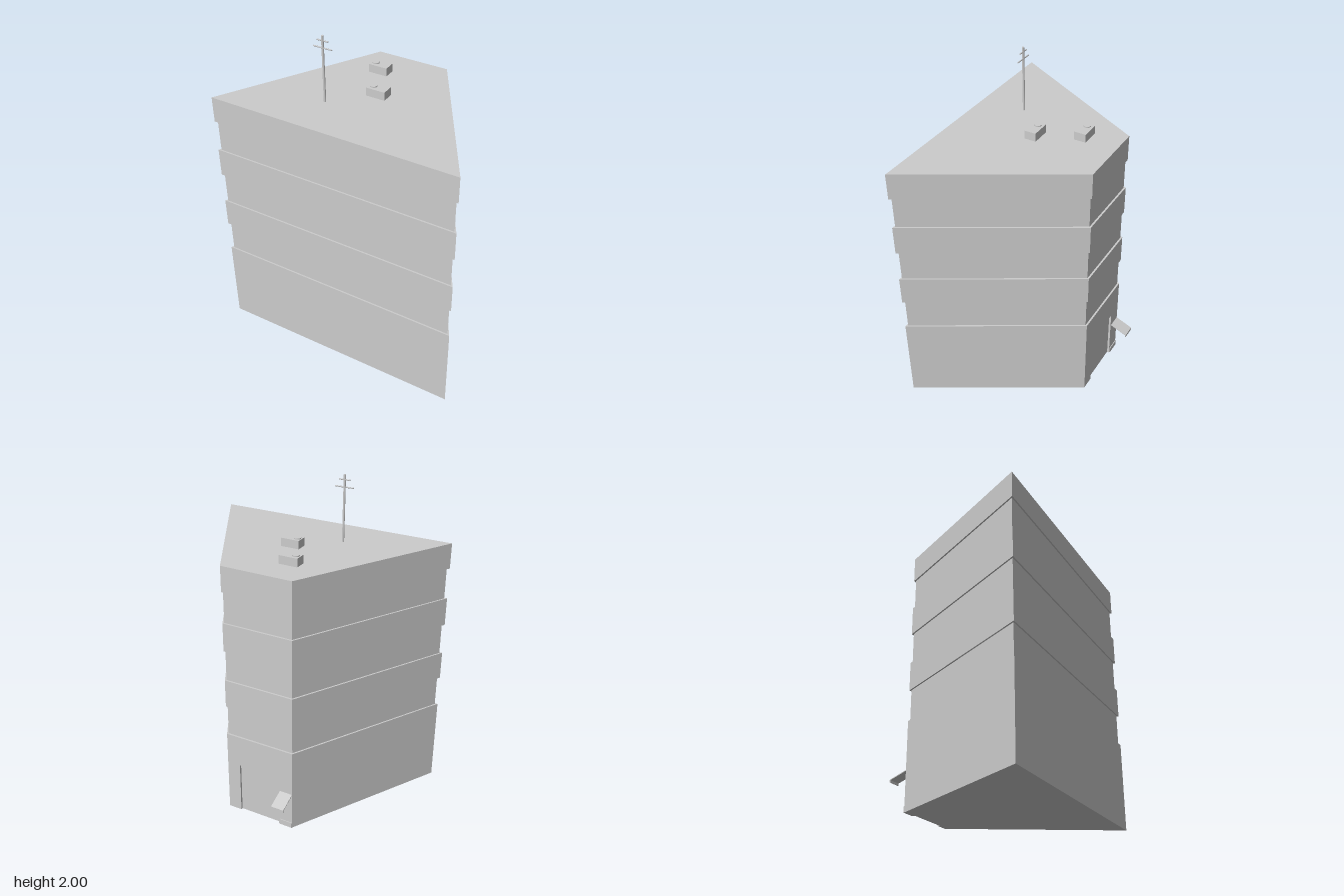
import * as THREE from 'three';

const concrete = new THREE.MeshStandardMaterial({ color: 0xcccccc });
concrete.name = 'concrete grey';

const ROOF = 1.605;

function add(parent, name, geometry, x = 0, y = 0, z = 0) {
  const mesh = new THREE.Mesh(geometry, concrete);
  mesh.name = name;
  mesh.position.set(x, y, z);
  parent.add(mesh);
  return mesh;
}

// Upright prism from plan points [x, z], listed front left, then round the outline
function prism(points, y0, y1) {
  const shape = new THREE.Shape(points.map(([x, z]) => new THREE.Vector2(x, -z)));
  const g = new THREE.ExtrudeGeometry(shape, { depth: y1 - y0, bevelEnabled: false });
  return g.rotateX(-Math.PI / 2).translate(0, y0, 0);
}

const outer = [[-0.754, 0.521], [0.754, 0.521], [0.222, -0.415], [-0.222, -0.415]];
const inner = [[-0.739, 0.512], [0.739, 0.512], [0.217, -0.404], [-0.217, -0.404]];

export function createModel() {
  const building = new THREE.Group();
  building.name = 'building';

  // Ground floor, with a recessed garage opening in the back wall
  const recess = [[0.138, -0.415], [0.138, -0.402], [-0.13, -0.402], [-0.13, -0.415]];
  add(building, 'groundFloor', prism([...outer.slice(0, 3), ...recess, outer[3]], 0, 0.33));
  add(building, 'groundFloorTop', prism(outer, 0.33, 0.53));

  // Alternating recessed window strips and projecting bands
  const levels = [0.53, 0.72, 0.895, 1.085, 1.26, 1.45, ROOF];
  for (let i = 0; i < 6; i++) {
    const strip = i % 2 === 0;
    add(building, strip ? 'windowStrip' : 'floorBand', prism(strip ? inner : outer, levels[i], levels[i + 1]));
  }

  // Small back entrance: step and sloping canopy with a lip
  const entrance = new THREE.Group();
  entrance.name = 'backEntrance';
  building.add(entrance);
  add(entrance, 'doorStep', new THREE.BoxGeometry(0.084, 0.035, 0.012), -0.18, 0.0175, -0.414);
  const profile = new THREE.Shape([
    [0.412, 0.243], [0.521, 0.199], [0.521, 0.183], [0.516, 0.183], [0.516, 0.196], [0.412, 0.238],
  ].map(([d, y]) => new THREE.Vector2(d, y)));
  const canopy = new THREE.ExtrudeGeometry(profile, { depth: 0.082, bevelEnabled: false });
  canopy.translate(0, 0, -0.041).rotateY(Math.PI / 2);
  add(entrance, 'canopy', canopy, -0.18, 0, 0);

  // Rooftop air conditioners, each with a round fan on one side
  for (const [x, z] of [[-0.097, -0.2], [0.028, 0.043]]) {
    const unit = new THREE.Group();
    unit.name = 'airConditioner';
    unit.position.set(x, ROOF, z);
    building.add(unit);
    add(unit, 'housing', new THREE.BoxGeometry(0.115, 0.05, 0.071), 0, 0.025, 0);
    add(unit, 'fan', new THREE.CylinderGeometry(0.021, 0.021, 0.008, 12), -0.031, 0.052, 0);
  }

  // Antenna mast with two crossbars
  const antenna = new THREE.Group();
  antenna.name = 'antenna';
  antenna.position.set(-0.192, ROOF, 0.245);
  building.add(antenna);
  add(antenna, 'mast', new THREE.CylinderGeometry(0.007, 0.007, 2 - ROOF, 8), 0, (2 - ROOF) / 2, 0);
  for (const [y, length] of [[1.928, 0.115], [1.97, 0.07]]) {
    const bar = new THREE.CylinderGeometry(0.004, 0.004, length, 6).rotateZ(Math.PI / 2);
    add(antenna, 'crossbar', bar, 0, y - ROOF, 0);
  }

  return building;
}
